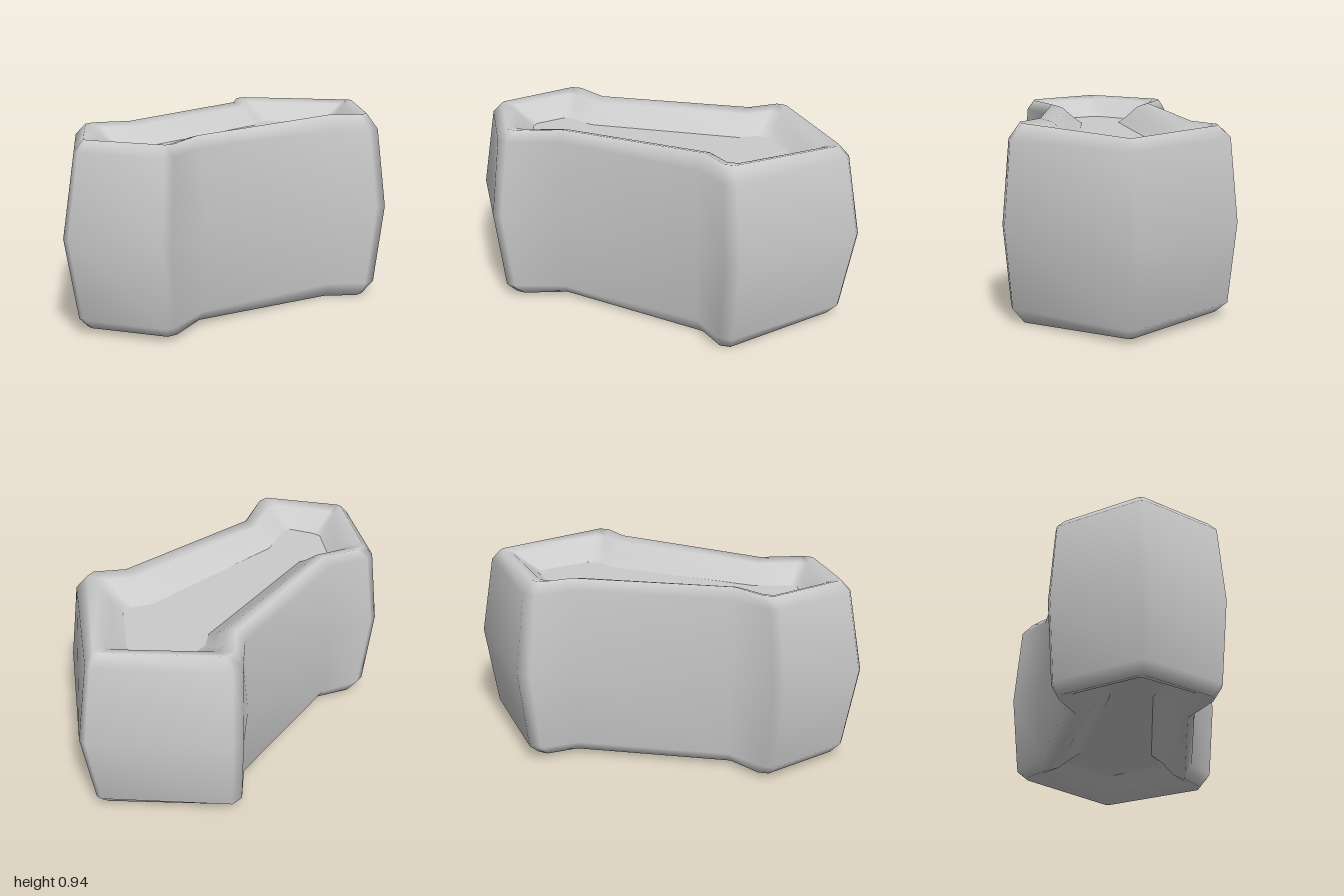
import * as THREE from 'three';

const HEIGHT = 0.945;
const MID = HEIGHT / 2;
const FLOOR_Y = 0.82;

// Front half outlines [x, z], from the small tip to the large tip.
const floorLine = [[-0.7, 0.02], [-0.65, 0.14], [-0.61, 0.155], [-0.43, 0.1], [0.34, 0.185], [0.42, 0.235], [0.49, 0.235], [0.67, 0.02]];
const crestLine = [[-0.88, 0.012], [-0.685, 0.34], [-0.635, 0.345], [-0.43, 0.26], [0.34, 0.36], [0.46, 0.46], [0.51, 0.455], [0.88, 0.012]];
const shoulderLine = [[-0.93, 0.016], [-0.72, 0.375], [-0.67, 0.38], [-0.43, 0.295], [0.32, 0.395], [0.47, 0.515], [0.535, 0.51], [0.93, 0.016]];
const bulgeLine = [[-1, 0.02], [-0.76, 0.4], [-0.71, 0.407], [-0.43, 0.313], [0.32, 0.417], [0.5, 0.55], [0.57, 0.543], [1, 0.02]];

const blend = (a, b, t) => a.map((p, i) => [p[0] + (b[i][0] - p[0]) * t, p[1] + (b[i][1] - p[1]) * t]);

// Close a half outline into a full ring; the front of the large lobe is slightly raised.
function ring(half, y, lift = 0) {
  const front = half.map(([x, z], i) => new THREE.Vector3(x, y + (i >= 4 && i <= 6 ? lift : 0), z));
  const back = half.map(([x, z], i) => new THREE.Vector3(x + (i === 1 || i === 2 ? 0.045 : 0), y, -z)).reverse();
  return [...front, ...back];
}

// Skin a stack of rings with smooth normals.
function skin(rings) {
  const n = rings[0].length;
  const index = [];
  for (let r = 0; r < rings.length - 1; r++) {
    for (let j = 0; j < n; j++) {
      const k = (j + 1) % n;
      const a = r * n + j, b = a + n, c = (r + 1) * n + k, d = r * n + k;
      index.push(a, b, c, a, c, d);
    }
  }
  const geometry = new THREE.BufferGeometry().setFromPoints(rings.flat());
  geometry.setIndex(index);
  geometry.computeVertexNormals();
  return geometry;
}

export function createModel() {
  const group = new THREE.Group();
  group.name = 'waistedBlock';
  const material = new THREE.MeshStandardMaterial({ color: 0xcccccc });

  // Rounded rim and bulging wall, mirrored about the middle height
  const upper = [
    ring(floorLine, FLOOR_Y),
    ring(blend(crestLine, floorLine, 0.7), 0.855),
    ring(blend(crestLine, floorLine, 0.35), 0.905, 0.02),
    ring(crestLine, 0.922, 0.023),
    ring(shoulderLine, 0.87),
  ];
  const lower = upper.map(r => r.map(p => new THREE.Vector3(p.x, HEIGHT - p.y, p.z))).reverse();
  const wall = new THREE.Mesh(skin([...upper, ring(bulgeLine, MID), ...lower]), material);
  wall.name = 'wallAndRim';
  group.add(wall);

  // Flat recessed panels at top and bottom
  const outline = ring(floorLine, 0);
  for (const side of [1, -1]) {
    const shape = new THREE.Shape(outline.map(p => new THREE.Vector2(p.x, -side * p.z)));
    const panel = new THREE.Mesh(new THREE.ShapeGeometry(shape), material);
    panel.rotation.x = -side * Math.PI / 2;
    panel.position.y = MID + side * (FLOOR_Y - MID);
    panel.name = side > 0 ? 'topPanel' : 'bottomPanel';
    group.add(panel);
  }
  return group;
}
